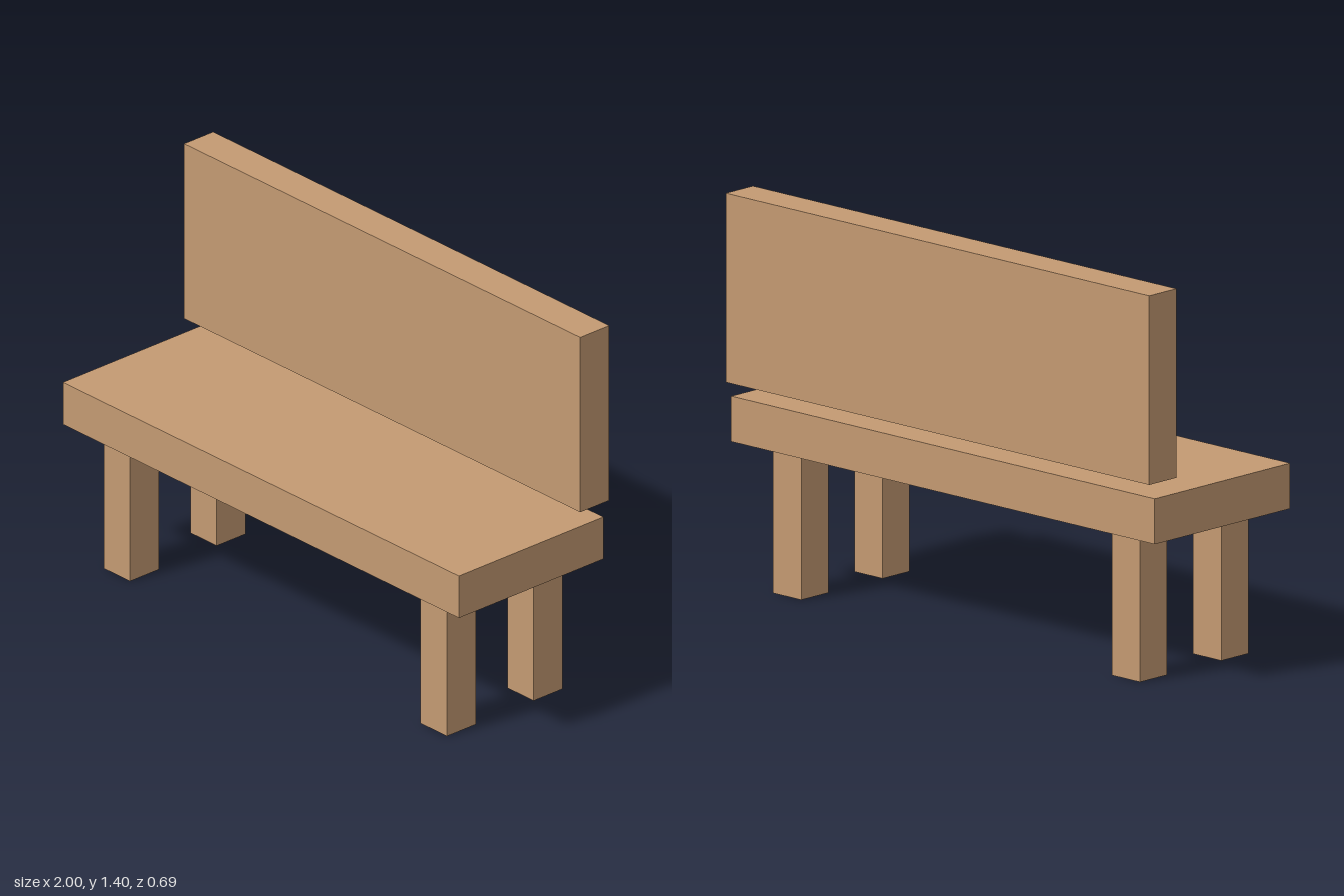
import * as THREE from 'three';

export function createModel() {
  const bench = new THREE.Group();
  bench.name = 'bench';
  const wood = new THREE.MeshStandardMaterial({ color: 0xc49a72 });
  wood.name = 'light wood';

  const addBoard = (name, size, position) => {
    const mesh = new THREE.Mesh(new THREE.BoxGeometry(...size), wood);
    mesh.name = name;
    mesh.position.set(...position);
    bench.add(mesh);
  };

  // Seat slab and the backrest floating just above its rear edge
  addBoard('seat', [2, 0.16, 0.667], [0, 0.602, 0.0135]);
  addBoard('backrest', [2, 0.666, 0.134], [0, 1.069, -0.28]);

  // Four square legs
  for (const [side, x] of [['Left', 0.8], ['Right', -0.8]]) {
    for (const [end, z] of [['front', 0.2135], ['back', -0.1865]]) {
      addBoard(`${end}${side}Leg`, [0.133, 0.522, 0.133], [x, 0.261, z]);
    }
  }
  return bench;
}
